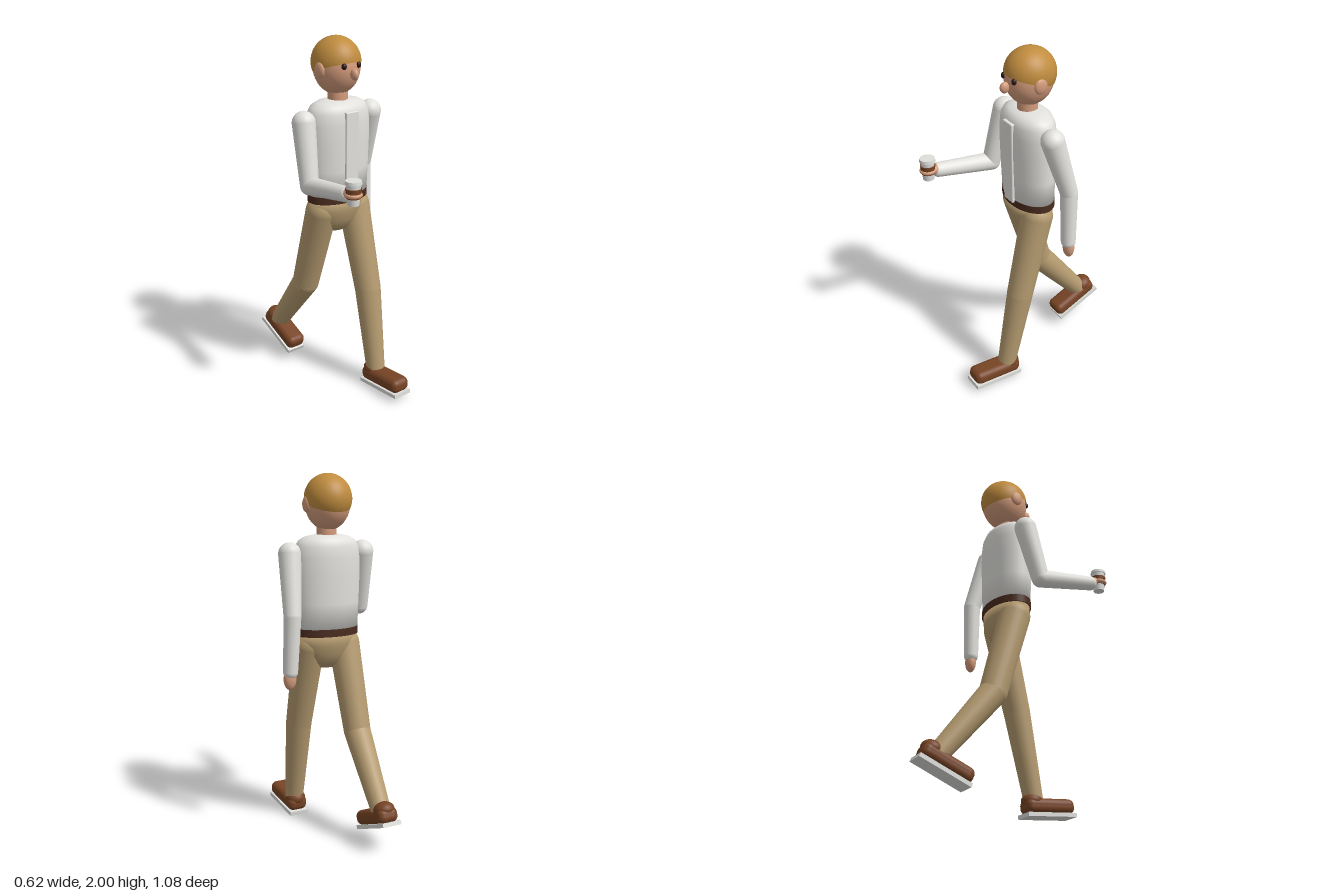
import * as THREE from 'three';
import { RoundedBoxGeometry } from 'three/addons/geometries/RoundedBoxGeometry.js';

const mat = (name, color, side = THREE.FrontSide) => {
  const m = new THREE.MeshStandardMaterial({ color, side });
  m.name = name;
  return m;
};

export function createModel() {
  const root = new THREE.Group();
  root.name = 'walkingMan';

  const shirt = mat('shirt white', 0xe2e1dd);
  const pants = mat('trouser tan', 0xb59b70);
  const skin = mat('skin', 0xd49c7c);
  const hair = mat('hair blond', 0xc08c3e, THREE.DoubleSide);
  const leather = mat('shoe brown', 0x774425);
  const dark = mat('belt brown', 0x4a2c1e);
  const black = mat('eye dark', 0x2a1814);
  const white = mat('sole and cup white', 0xdededb);

  const add = (name, geo, material, pos = [0, 0, 0], scale = [1, 1, 1], parent = root) => {
    const m = new THREE.Mesh(geo, material);
    m.name = name;
    m.position.set(...pos);
    m.scale.set(...scale);
    parent.add(m);
    return m;
  };
  const ball = new THREE.SphereGeometry(1, 28, 20);
  const blob = (name, material, pos, scale, parent) => add(name, ball, material, pos, scale, parent);

  // Tapered limb segment from a to b
  const segment = (name, material, a, b, ra, rb, parent) => {
    const p = new THREE.Vector3(...a), q = new THREE.Vector3(...b);
    const m = add(name, new THREE.CylinderGeometry(rb, ra, p.distanceTo(q), 24), material, [0, 0, 0], [1, 1, 1], parent);
    m.position.copy(p).lerp(q, 0.5);
    m.quaternion.setFromUnitVectors(new THREE.Vector3(0, 1, 0), q.sub(p).normalize());
  };
  // Two segments with round joints
  const limb = (name, material, pts, radii) => {
    const g = new THREE.Group();
    g.name = name;
    root.add(g);
    segment(name + 'Upper', material, pts[0], pts[1], radii[0], radii[1], g);
    segment(name + 'Lower', material, pts[1], pts[2], radii[1], radii[2], g);
    pts.forEach((p, i) => blob(name + 'Joint' + i, material, p, [radii[i], radii[i], radii[i]], g));
  };
  const lathe = (pts) => new THREE.LatheGeometry(pts.map(([r, y]) => new THREE.Vector2(r, y)), 40);

  // Torso, belt and pelvis: elliptical lathes
  const zc = 0.032;
  add('torso', lathe([[0, 1.14], [0.183, 1.14], [0.19, 1.3], [0.195, 1.45], [0.194, 1.55],
    [0.185, 1.61], [0.165, 1.643], [0.13, 1.662], [0.08, 1.672], [0, 1.675]]), shirt, [0, 0, zc], [1, 1, 0.64]);
  add('belt', new THREE.CylinderGeometry(0.186, 0.186, 0.042, 40), dark, [0, 1.142, zc], [1, 1, 0.64]);
  add('pelvis', lathe([[0, 0.925], [0.06, 0.935], [0.11, 0.965], [0.15, 1.01], [0.174, 1.07], [0.18, 1.13], [0, 1.13]]),
    pants, [0, 0, zc], [1, 1, 0.63]);
  add('shirtPlacket', new RoundedBoxGeometry(0.084, 0.475, 0.03, 2, 0.006), shirt, [0, 1.385, 0.147]);

  // Head
  add('neck', new THREE.CylinderGeometry(0.053, 0.056, 0.14, 24), skin, [0, 1.69, 0.033]);
  blob('head', skin, [0, 1.84, 0.022], [0.122, 0.146, 0.133]);
  const cap = add('hair', new THREE.SphereGeometry(1, 36, 20, 0, Math.PI * 2, 0, Math.PI * 0.57), hair,
    [0, 1.865, 0.017], [0.129, 0.135, 0.14]);
  cap.rotation.x = -0.3;
  blob('nose', skin, [0, 1.819, 0.17], [0.019, 0.03, 0.027]);
  for (const s of [1, -1]) {
    blob('ear', skin, [s * 0.121, 1.836, 0.035], [0.018, 0.043, 0.037]);
    blob('eye', black, [s * 0.047, 1.861, 0.144], [0.014, 0.017, 0.014]);
  }

  // Arms
  limb('leftArm', shirt, [[0.223, 1.573, 0.032], [0.252, 1.25, -0.058], [0.264, 0.945, -0.053]], [0.063, 0.048, 0.041]);
  blob('leftHand', skin, [0.268, 0.905, -0.053], [0.036, 0.06, 0.03]);
  limb('rightArm', shirt, [[-0.223, 1.573, 0.032], [-0.248, 1.255, 0.11], [-0.264, 1.303, 0.435]], [0.063, 0.05, 0.04]);
  blob('rightHand', skin, [-0.264, 1.315, 0.46], [0.034, 0.03, 0.036]);

  // Cup with sleeve, lid and wrapped fingers
  const cup = new THREE.Group();
  cup.name = 'cup';
  cup.position.set(-0.267, 0, 0.494);
  root.add(cup);
  add('cupBody', new THREE.CylinderGeometry(0.039, 0.03, 0.115, 28), white, [0, 1.323, 0], [1, 1, 1], cup);
  add('cupLid', new THREE.CylinderGeometry(0.041, 0.043, 0.016, 28), white, [0, 1.383, 0], [1, 1, 1], cup);
  add('cupSleeve', new THREE.CylinderGeometry(0.041, 0.037, 0.05, 28), leather, [0, 1.327, 0], [1, 1, 1], cup);
  const fingers = add('fingers', new THREE.TorusGeometry(0.035, 0.011, 10, 28), skin, [0, 1.318, 0], [1, 1, 1], cup);
  fingers.rotation.x = Math.PI / 2;

  // Legs in mid stride
  limb('leftLeg', pants, [[0.105, 1.06, 0.045], [0.115, 0.58, 0.167], [0.106, 0.11, 0.257]], [0.088, 0.074, 0.054]);
  limb('rightLeg', pants, [[-0.105, 1.06, 0.025], [-0.117, 0.58, -0.115], [-0.101, 0.2, -0.42]], [0.088, 0.076, 0.054]);

  // Shoes
  const shoe = (name, x, y, z, pitch) => {
    const g = new THREE.Group();
    g.name = name;
    g.position.set(x, y, z);
    g.rotation.x = pitch;
    root.add(g);
    add('sole', new THREE.BoxGeometry(0.113, 0.022, 0.305), white, [0, 0.011, 0], [1, 1, 1], g);
    add('shoeUpper', new RoundedBoxGeometry(0.118, 0.082, 0.3, 5, 0.034), leather, [0, 0.06, 0.003], [1, 1, 1], g);
    blob('shoeCollar', leather, [0, 0.09, -0.092], [0.058, 0.045, 0.06], g);
  };
  shoe('leftShoe', 0.103, 0.0155, 0.347, -0.09);
  shoe('rightShoe', -0.1, 0.109, -0.395, 0.39);

  return root;
}
